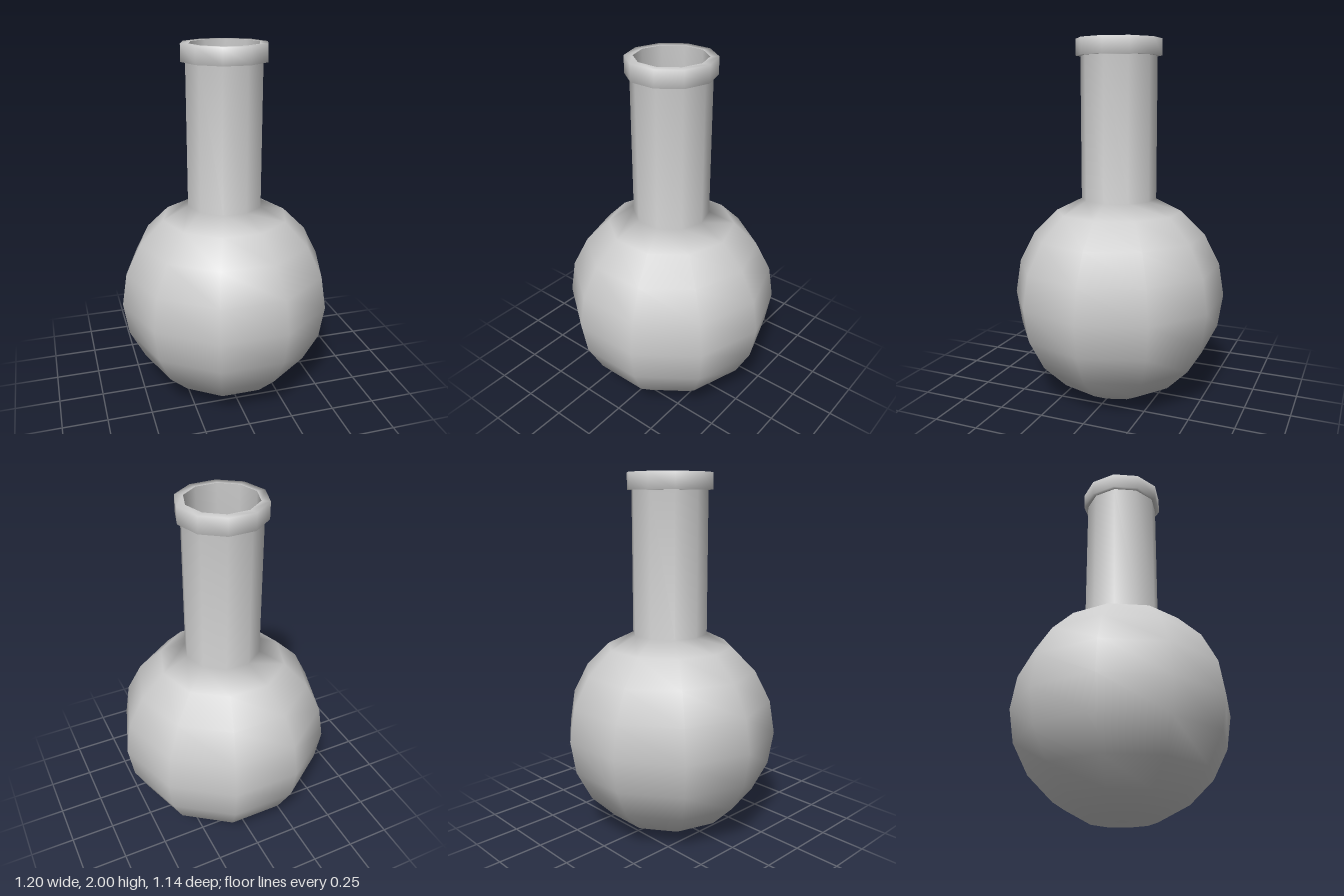
import * as THREE from 'three';

const SIDES = 10;
const CENTRE_Y = 0.575;
const BULB_RADIUS = 0.6;
const WALL = 0.02;

// Half circle of a bulb from the flat base up to the shoulder
function bulbProfile(radius) {
  const points = [];
  for (let i = 1; i <= 8; i++) {
    const a = (i / 10) * Math.PI;
    points.push([radius * Math.sin(a), CENTRE_Y - radius * Math.cos(a)]);
  }
  points[0][1] = CENTRE_Y - radius + 0.025;
  return points;
}

export function createModel() {
  const group = new THREE.Group();
  group.name = 'roundFlask';
  const material = new THREE.MeshStandardMaterial({ color: 0xcccccc });

  function turned(name, profile) {
    const points = profile.map(([r, y]) => new THREE.Vector2(r, y));
    // A corner of the decagon points along +x
    const geometry = new THREE.LatheGeometry(points, SIDES, Math.PI / 2);
    const mesh = new THREE.Mesh(geometry, material);
    mesh.name = name;
    group.add(mesh);
  }

  // Outer wall: flat base, round bulb and straight neck
  turned('bulbAndNeck', [
    [0, 0],
    ...bulbProfile(BULB_RADIUS),
    [0.21, 1.13],
    [0.21, 1.91],
  ]);

  // Square lip around the mouth
  turned('rim', [
    [0.21, 1.91],
    [0.235, 1.91],
    [0.235, 2],
    [0.19, 2],
  ]);

  // Inner wall, running downwards so that it faces the hollow
  turned('innerWall', [
    [0, WALL],
    ...bulbProfile(BULB_RADIUS - WALL),
    [0.19, 1.12],
    [0.19, 2],
  ].reverse());

  return group;
}
